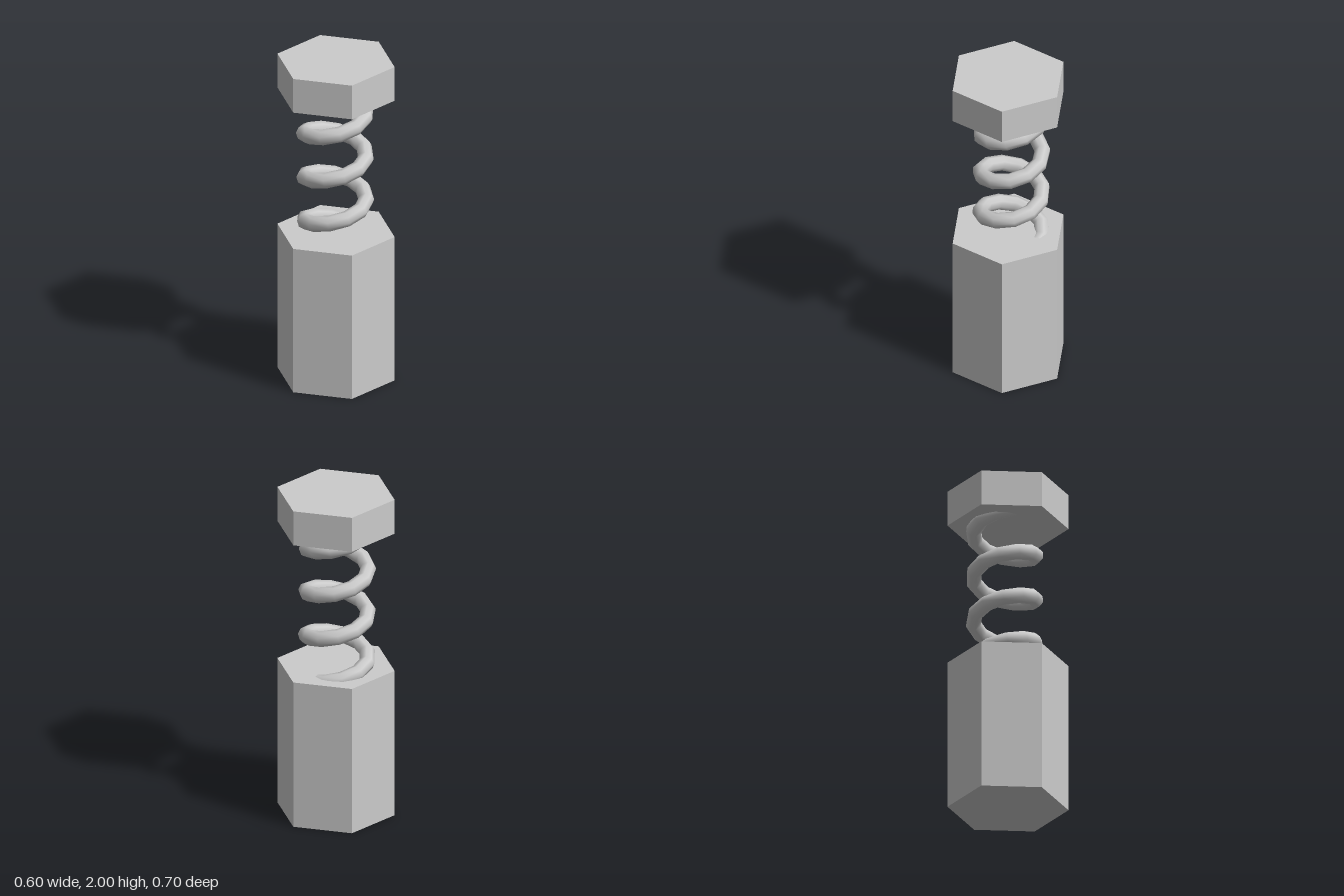
import * as THREE from 'three';

const material = new THREE.MeshStandardMaterial({ color: 0xcccccc });
const hexMaterial = new THREE.MeshStandardMaterial({ color: 0xcccccc, flatShading: true });

// Hexagonal prism with corners on +z and -z
function hexPrism(name, bottom, top) {
  const geometry = new THREE.CylinderGeometry(0.349, 0.349, top - bottom, 6);
  const mesh = new THREE.Mesh(geometry, hexMaterial);
  mesh.position.y = (bottom + top) / 2;
  mesh.name = name;
  return mesh;
}

// Rising coil: -z, -x, +z, +x, with its ends sunk into both blocks
class Helix extends THREE.Curve {
  getPoint(t, target = new THREE.Vector3()) {
    const radius = 0.18, pitch = 0.277, turns = 3.75;
    const turn = -0.375 + t * turns;
    const a = turn * Math.PI * 2;
    return target.set(-radius * Math.sin(a), 0.915 + turn * pitch, -0.021 - radius * Math.cos(a));
  }
}

export function createModel() {
  const group = new THREE.Group();
  group.name = 'springBolt';

  group.add(hexPrism('base', 0, 0.915), hexPrism('cap', 1.785, 2));

  const spring = new THREE.Mesh(new THREE.TubeGeometry(new Helix(), 42, 0.046, 8, false), material);
  spring.name = 'spring';
  group.add(spring);

  return group;
}
